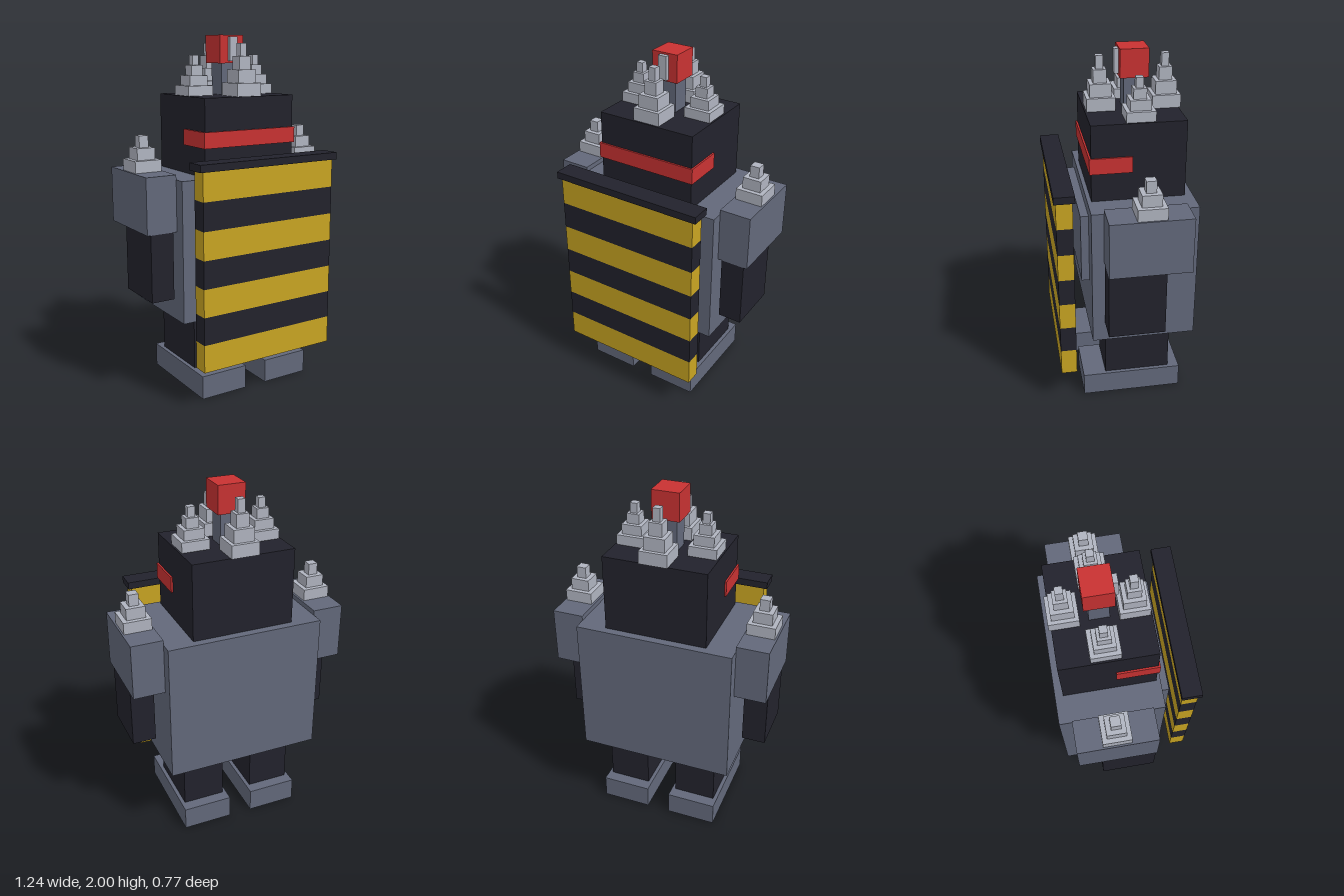
import * as THREE from 'three';

const mat = (name, color) => {
  const m = new THREE.MeshStandardMaterial({ color });
  m.name = name;
  return m;
};

export function createModel() {
  const model = new THREE.Group();
  model.name = 'armouredRobot';
  const steel = mat('steel', 0x62687a);
  const black = mat('black', 0x22222c);
  const silver = mat('silver', 0xb0b4c0);
  const red = mat('red', 0xc83232);
  const yellow = mat('yellow', 0xc8a422);

  // Box given by its extents on each axis
  const box = (name, material, [x0, x1], [y0, y1], [z0, z1], parent = model) => {
    const mesh = new THREE.Mesh(new THREE.BoxGeometry(x1 - x0, y1 - y0, z1 - z0), material);
    mesh.position.set((x0 + x1) / 2, (y0 + y1) / 2, (z0 + z1) / 2);
    mesh.name = name;
    parent.add(mesh);
    return mesh;
  };

  // Stepped spike made of shrinking blocks
  const spike = (name, x, y, z, step, halfWidths) => {
    const group = new THREE.Group();
    group.name = name;
    group.position.set(x, y, z);
    halfWidths.forEach((w, i) =>
      box('spikeStep', silver, [-w, w], [i * step, (i + 1) * step], [-w, w], group));
    model.add(group);
  };

  // Torso and head
  box('torso', steel, [-0.443, 0.443], [0.45, 1.243], [-0.385, 0.193]);
  box('chestPlate', steel, [-0.33, 0.33], [0.783, 1.18], [0.193, 0.237]);
  box('head', black, [-0.288, 0.288], [1.243, 1.67], [-0.34, 0.17]);
  box('visor', red, [-0.298, 0.298], [1.402, 1.49], [-0.05, 0.18]);

  // Limbs, mirrored left and right
  for (const [side, s] of [['left', 1], ['right', -1]]) {
    const span = (a, b) => (s > 0 ? [a, b] : [-b, -a]);
    box(side + 'Foot', steel, span(0.068, 0.354), [0, 0.135], [-0.335, 0.238]);
    box(side + 'Leg', black, span(0.09, 0.332), [0.135, 0.45], [-0.27, 0.107]);
    box(side + 'Shoulder', steel, span(0.442, 0.62), [0.957, 1.27], [-0.315, 0.127]);
    box(side + 'Arm', black, span(0.466, 0.6), [0.58, 0.957], [-0.183, 0.127]);
    spike(side + 'ShoulderSpike', s * 0.532, 1.27, -0.097, 0.065, [0.078, 0.053, 0.027]);
    spike(side + 'HeadSpike', s * 0.2, 1.67, -0.097, 0.055, [0.078, 0.056, 0.035, 0.02]);
  }
  for (const [name, z] of [['frontHeadSpike', 0.083], ['backHeadSpike', -0.273]]) {
    spike(name, 0, 1.67, z, 0.0715, [0.078, 0.058, 0.036, 0.02]);
  }

  // Beacon on top of the head
  box('beaconStem', steel, [-0.053, 0.053], [1.67, 1.845], [-0.148, -0.042]);
  box('beacon', red, [-0.077, 0.077], [1.845, 2], [-0.173, -0.018]);
  box('beaconStrip', silver, [-0.025, 0.025], [1.858, 1.99], [-0.018, 0.006]);

  // Striped shield with a dark top rail
  const shield = new THREE.Group();
  shield.name = 'shield';
  model.add(shield);
  const bottom = 0.225, stripe = (1.315 - bottom) / 7;
  for (let i = 0; i < 7; i++) {
    box('shieldStripe', i % 2 ? black : yellow, [-0.421, 0.421],
      [bottom + i * stripe, bottom + (i + 1) * stripe], [0.285, 0.374], shield);
  }
  box('shieldRail', black, [-0.443, 0.443], [1.315, 1.355], [0.273, 0.385], shield);

  return model;
}
